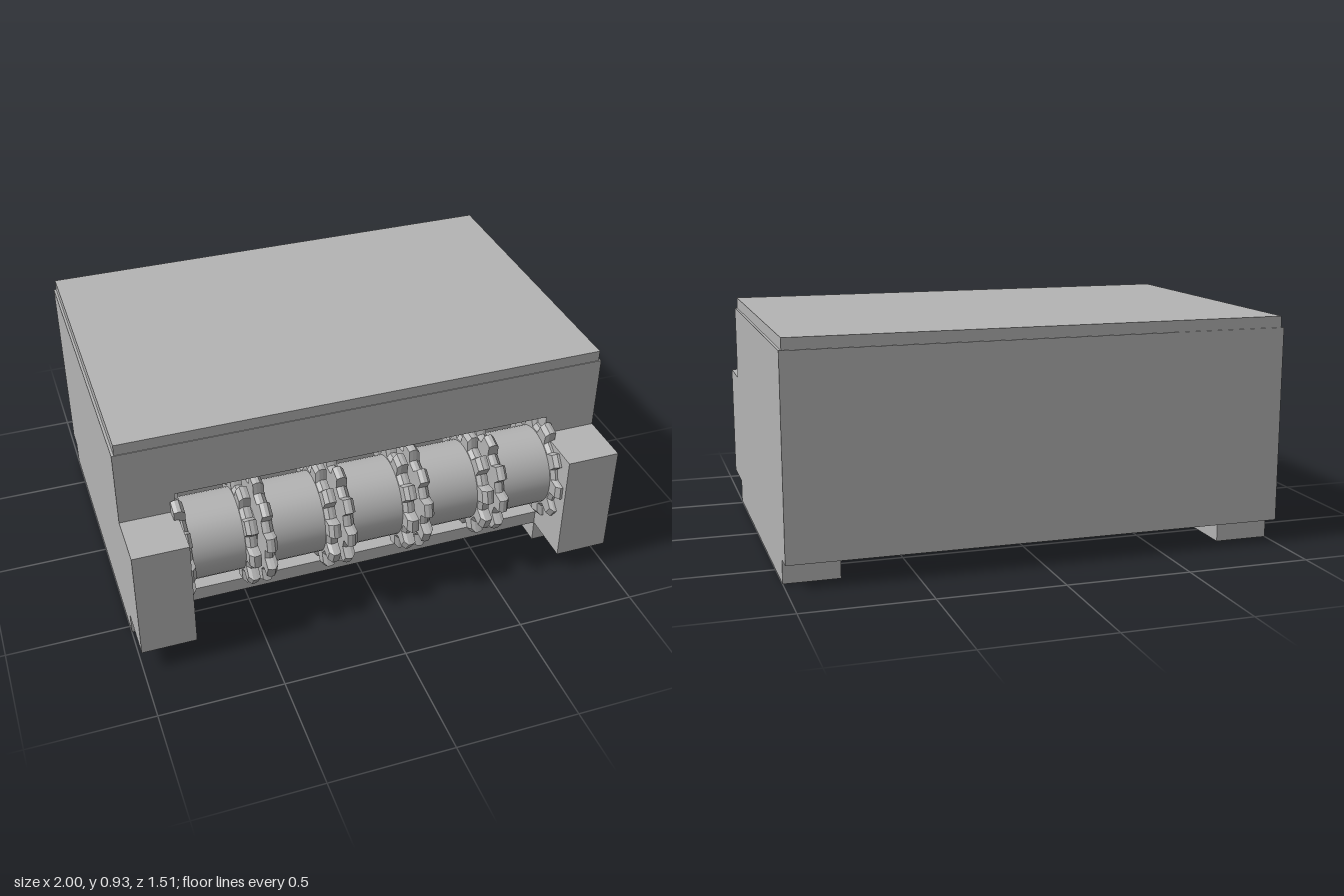
import * as THREE from 'three';

export function createModel() {
  const model = new THREE.Group();
  const grey = new THREE.MeshStandardMaterial({ color: 0xb4b4b4 });
  grey.name = 'grey';

  function add(name, geometry, parent = model) {
    const mesh = new THREE.Mesh(geometry, grey);
    mesh.name = name;
    parent.add(mesh);
    return mesh;
  }

  // Box given by its minimum and maximum corners
  function block(name, [x0, y0, z0], [x1, y1, z1]) {
    const g = new THREE.BoxGeometry(x1 - x0, y1 - y0, z1 - z0);
    g.translate((x0 + x1) / 2, (y0 + y1) / 2, (z0 + z1) / 2);
    return add(name, g);
  }

  function rectangle(PathType, x, y0, y1) {
    return new PathType([
      new THREE.Vector2(-x, y0), new THREE.Vector2(x, y0),
      new THREE.Vector2(x, y1), new THREE.Vector2(-x, y1),
    ]);
  }

  // Housing: solid rear and a front frame around the roller recess
  const recessBack = 0.24;
  block('housing', [-1, 0.095, -0.755], [1, 0.885, recessBack]);
  const frame = rectangle(THREE.Shape, 1, 0.095, 0.885);
  frame.holes.push(rectangle(THREE.Path, 0.78, 0.155, 0.655));
  const frameGeometry = new THREE.ExtrudeGeometry(frame, { depth: 0.535 - recessBack, bevelEnabled: false });
  frameGeometry.translate(0, 0, recessBack);
  add('frontFrame', frameGeometry);
  block('lid', [-0.99, 0.885, -0.75], [0.99, 0.93, 0.532]);

  // Front cheeks and foot rails on both sides
  for (const [side, x0, x1] of [['left', 0.78, 1], ['right', -1, -0.78]]) {
    block(side + 'Cheek', [x0, 0.095, 0.535], [x1, 0.572, 0.755]);
    block(side + 'Foot', [x0, 0, -0.675], [x1, 0.095, 0.535]);
  }

  // Toothed rim, chamfered on the side facing its drum
  const teeth = 10;
  const outline = new THREE.Shape();
  for (let i = 0; i < teeth; i++) {
    const profile = [[-11, 0.188], [-7, 0.234], [7, 0.234], [11, 0.188]];
    profile.forEach(([degrees, r], j) => {
      const a = THREE.MathUtils.degToRad(90 + i * 360 / teeth + degrees);
      const x = r * Math.cos(a), y = r * Math.sin(a);
      if (i + j === 0) outline.moveTo(x, y); else outline.lineTo(x, y);
    });
  }
  outline.closePath();
  const rim = new THREE.ExtrudeGeometry(outline, { depth: 0.045, steps: 3, bevelEnabled: false });
  const p = rim.attributes.position;
  for (let i = 0; i < p.count; i++) {
    const s = p.getZ(i) < 0.001 ? 0.92 : p.getZ(i) > 0.044 ? 0.975 : 1;
    p.setXY(i, p.getX(i) * s, p.getY(i) * s);
  }
  rim.computeVertexNormals();
  rim.translate(0, 0, 0.105);
  rim.rotateY(Math.PI / 2);

  const drum = new THREE.CylinderGeometry(0.166, 0.166, 0.24, 40).rotateZ(Math.PI / 2);

  // Five drums, each with a toothed rim at either end
  for (let i = -2; i <= 2; i++) {
    const roller = new THREE.Group();
    roller.name = 'roller' + (i + 3);
    roller.position.set(i * 0.325, 0.4, 0.5);
    add('drum', drum, roller);
    for (const side of [0, 1]) {
      const wheel = add('toothedRim', rim, roller);
      wheel.rotation.y = side * Math.PI;
      wheel.rotation.x = THREE.MathUtils.degToRad(17 - (Math.abs(i) % 2) * 14);
    }
    model.add(roller);
  }

  // Axle through all rollers
  const axle = add('axle', new THREE.CylinderGeometry(0.08, 0.08, 1.6, 24).rotateZ(Math.PI / 2));
  axle.position.set(0, 0.4, 0.5);

  return model;
}
